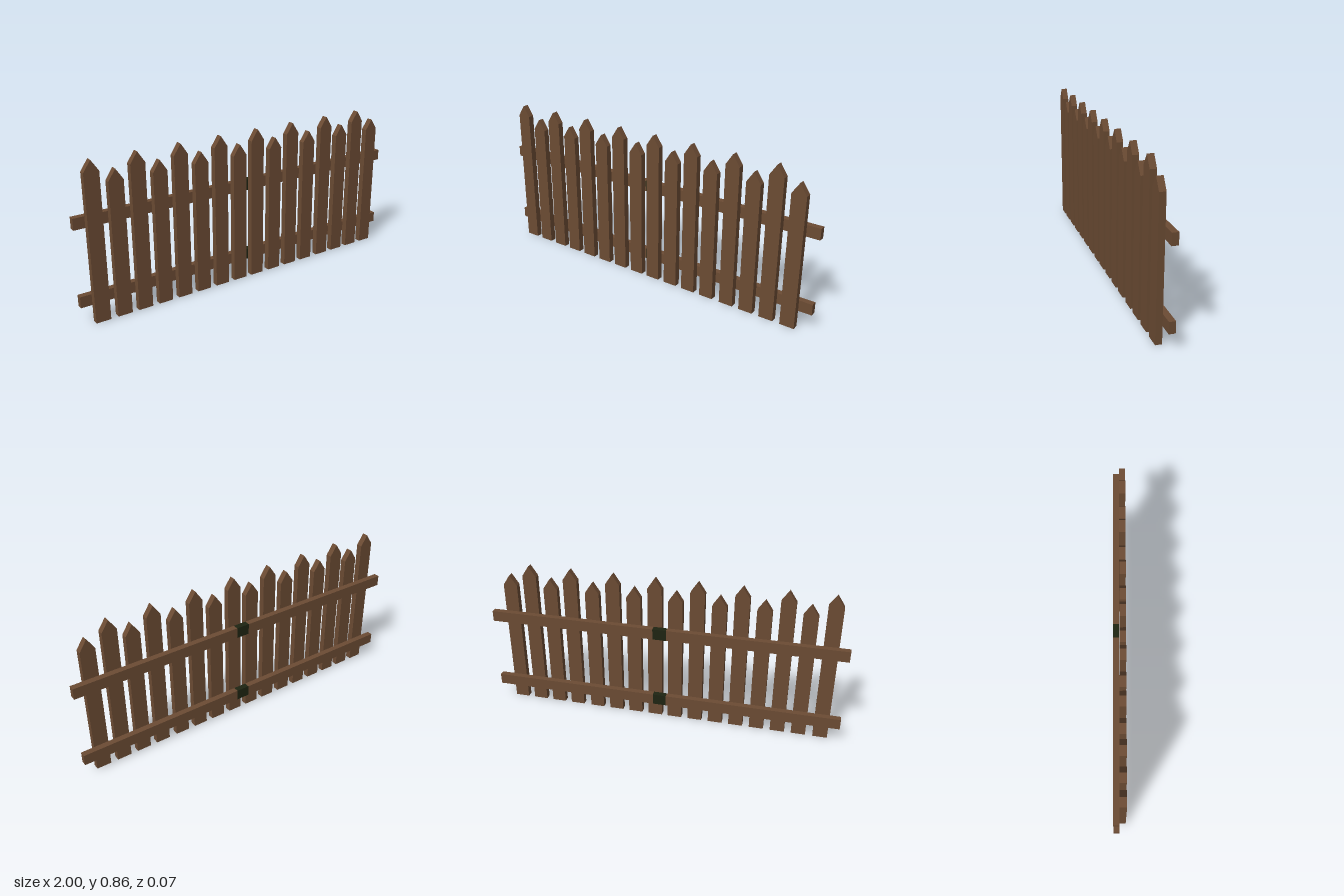
import * as THREE from 'three';

export function createModel() {
  const fence = new THREE.Group();
  fence.name = 'picketFence';
  const wood = new THREE.MeshStandardMaterial({ color: 0x6b4b33 });
  wood.name = 'brown wood';
  const dark = new THREE.MeshStandardMaterial({ color: 0x1e2412 });
  dark.name = 'dark joint';

  // Pickets: pointed boards, alternately tall and short
  const picketGeometry = (height) => {
    const w = 0.04, shoulder = height - 0.06;
    const shape = new THREE.Shape([
      new THREE.Vector2(-w, 0), new THREE.Vector2(w, 0), new THREE.Vector2(w, shoulder),
      new THREE.Vector2(0, height), new THREE.Vector2(-w, shoulder),
    ]);
    return new THREE.ExtrudeGeometry(shape, { depth: 0.034, bevelEnabled: false });
  };
  const boards = [picketGeometry(0.855), picketGeometry(0.79)];
  const positions = [
    -0.9, -0.78, -0.662, -0.543, -0.424, -0.305, -0.186, -0.067,
    0.048, 0.167, 0.285, 0.404, 0.529, 0.648, 0.767, 0.887,
  ];
  positions.forEach((x, i) => {
    const picket = new THREE.Mesh(boards[i % 2], wood);
    picket.name = i % 2 ? 'shortPicket' : 'tallPicket';
    picket.position.x = x;
    fence.add(picket);
  });

  // Rails: two lengths each, meeting at a dark joint block
  const addRailPart = (name, x0, x1, y, material) => {
    const part = new THREE.Mesh(new THREE.BoxGeometry(x1 - x0, 0.061, 0.033), material);
    part.name = name;
    part.position.set((x0 + x1) / 2, y, -0.0175);
    fence.add(part);
  };
  for (const [level, y] of [['lower', 0.121], ['upper', 0.541]]) {
    addRailPart(level + 'RailRight', -1, -0.023, y, wood);
    addRailPart(level + 'RailJoint', -0.023, 0.053, y, dark);
    addRailPart(level + 'RailLeft', 0.053, 1, y, wood);
  }
  return fence;
}
